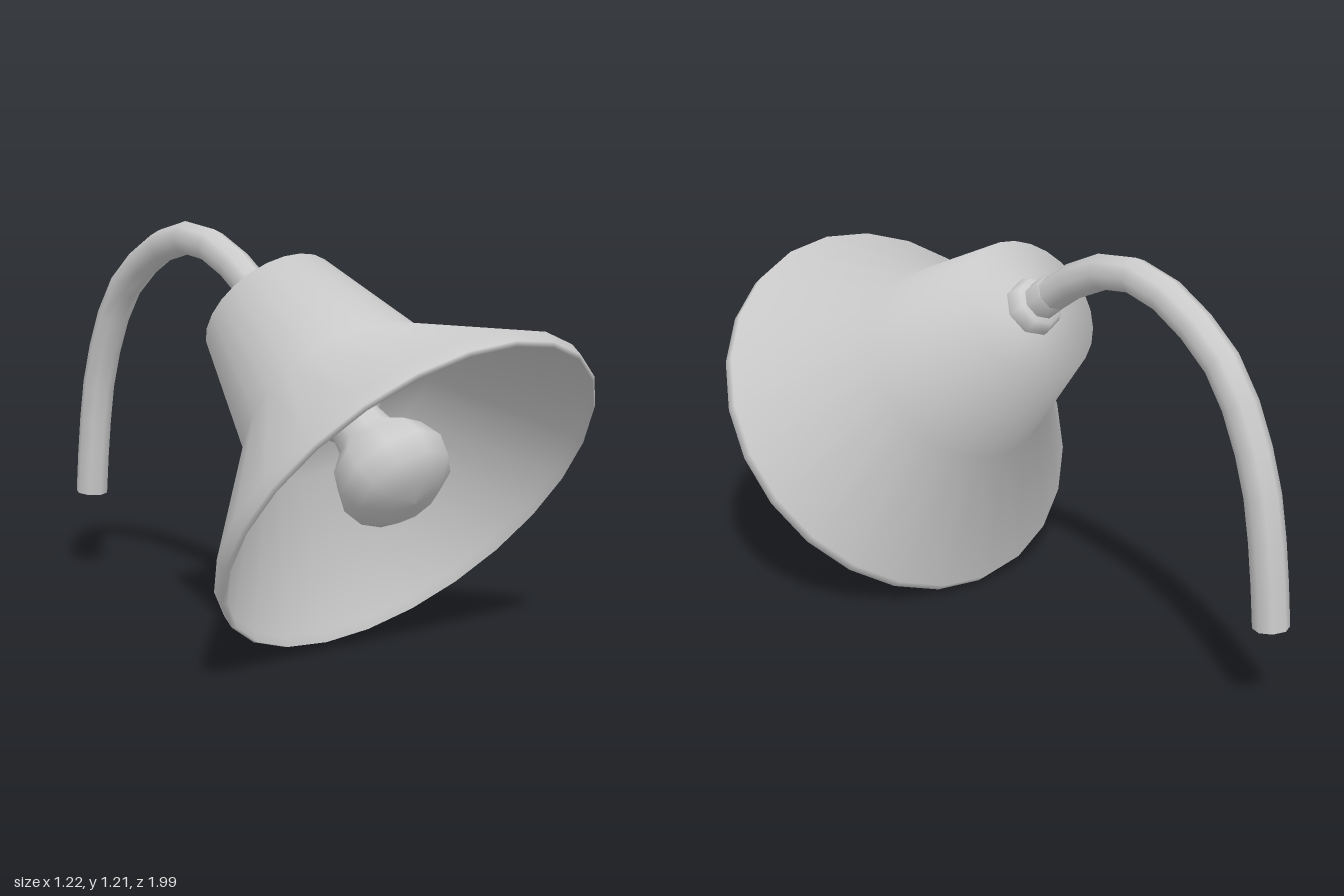
import * as THREE from 'three';

const material = new THREE.MeshStandardMaterial({ color: 0xcccccc, side: THREE.DoubleSide });

function lathe(name, profile, segments) {
  const points = profile.map(([r, h]) => new THREE.Vector2(r, h));
  const mesh = new THREE.Mesh(new THREE.LatheGeometry(points, segments), material);
  mesh.name = name;
  return mesh;
}

export function createModel() {
  const model = new THREE.Group();
  model.name = 'wallLamp';

  // Lamp head: parts turned around one axis that leans back from the rim centre
  const head = new THREE.Group();
  head.name = 'lampHead';
  head.position.set(0, 0.49, 0.625);
  head.rotation.x = -0.907;
  model.add(head);

  // Shade: inner lining, rolled rim, flared skirt, narrow neck and flat top
  head.add(lathe('shade', [
    [0, 0.4], [0.3, 0.385], [0.59, 0.03], [0.597, 0], [0.609, 0.01],
    [0.609, 0.05], [0.316, 0.4], [0.219, 0.795], [0, 0.795],
  ], 24));

  // Bulb with its neck, and the socket ring that holds it
  head.add(lathe('bulb', [
    [0, 0], [0.09, 0.012], [0.155, 0.055], [0.172, 0.12], [0.15, 0.19],
    [0.09, 0.25], [0.075, 0.34],
  ], 10));
  head.add(lathe('bulbSocket', [[0.07, 0.33], [0.1, 0.335], [0.1, 0.395], [0, 0.4]], 8));

  // Nut and sleeve on top of the shade
  head.add(lathe('nut', [[0.087, 0.79], [0.087, 0.815], [0.074, 0.845], [0.04, 0.85]], 8));
  head.add(lathe('sleeve', [[0.057, 0.84], [0.057, 0.908], [0.04, 0.91]], 8));

  // Gooseneck arm: [z, y] points from the sleeve over the top and down behind
  const path = [
    [-0.07, 1.03], [-0.215, 1.125], [-0.36, 1.17], [-0.48, 1.157], [-0.6, 1.105],
    [-0.755, 0.98], [-0.83, 0.85], [-0.89, 0.69], [-0.925, 0.5], [-0.947, 0.29],
  ].map(([z, y]) => new THREE.Vector3(0, y, z));
  const arm = new THREE.Mesh(
    new THREE.TubeGeometry(new THREE.CatmullRomCurve3(path), 12, 0.052, 8), material);
  arm.name = 'gooseneckArm';
  model.add(arm);

  return model;
}
